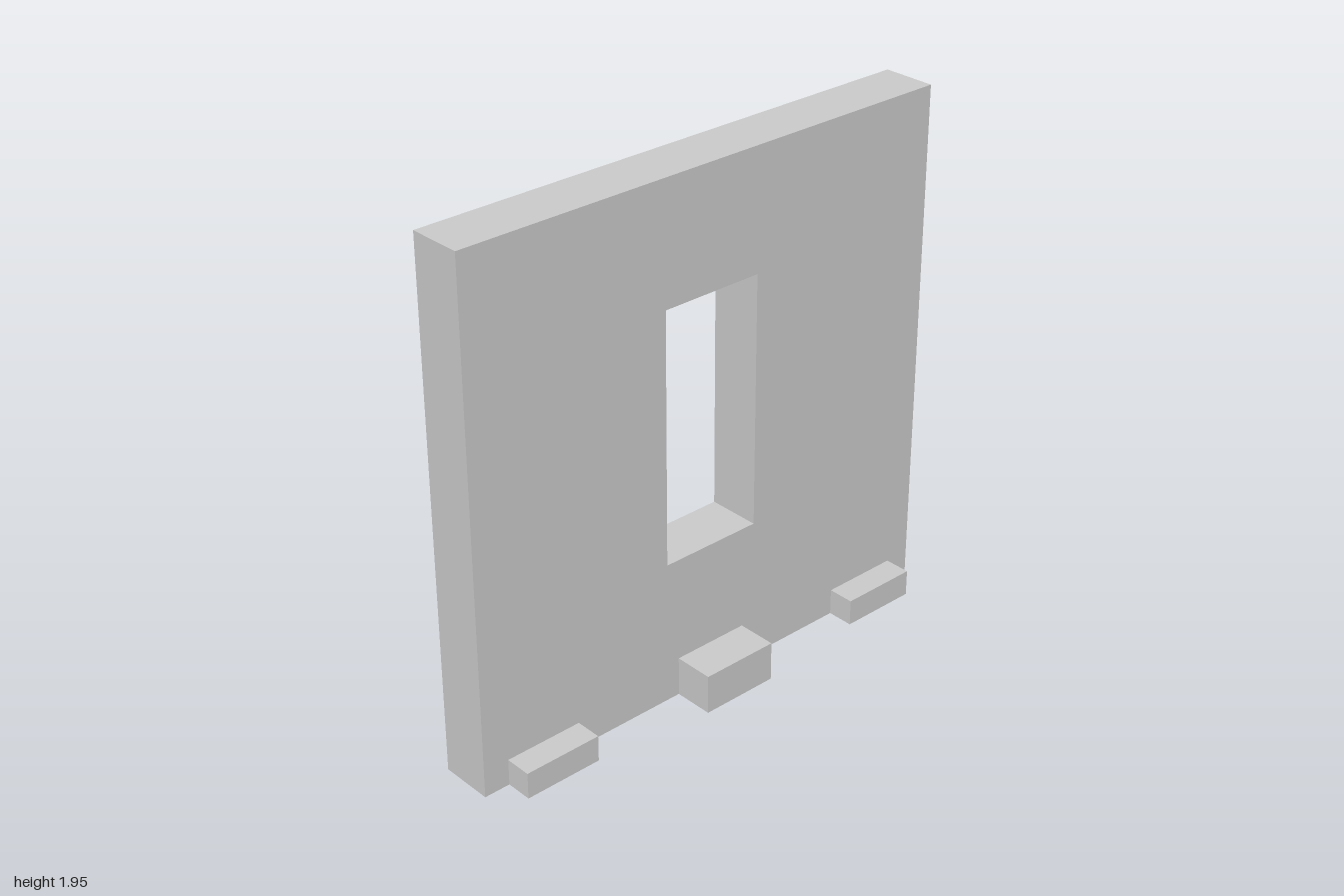
import * as THREE from 'three';

const WALL_DEPTH = 0.2;

// Rectangle outline from its lower-left and upper-right corners
function rectangle(PathType, x0, y0, x1, y1) {
  const path = new PathType();
  path.moveTo(x0, y0);
  path.lineTo(x1, y0);
  path.lineTo(x1, y1);
  path.lineTo(x0, y1);
  path.closePath();
  return path;
}

export function createModel() {
  const model = new THREE.Group();
  model.name = 'wallPanel';
  const material = new THREE.MeshStandardMaterial({ color: 0xcccccc, flatShading: true });

  // Upright slab with a tall window opening
  const outline = rectangle(THREE.Shape, -1, 0, 1, 1.95);
  outline.holes.push(rectangle(THREE.Path, -0.2, 0.55, 0.2, 1.5));
  const wallGeometry = new THREE.ExtrudeGeometry(outline, { depth: WALL_DEPTH, bevelEnabled: false });
  wallGeometry.translate(0, 0, -WALL_DEPTH / 2);
  const wall = new THREE.Mesh(wallGeometry, material);
  wall.name = 'wall';
  model.add(wall);

  // Feet along the base, on both faces of the wall
  const feet = [
    { name: 'RightFoot', x: -0.75, height: 0.1, depth: 0.1 },
    { name: 'CentreFoot', x: 0, height: 0.15, depth: 0.15 },
    { name: 'LeftFoot', x: 0.75, height: 0.1, depth: 0.1 },
  ];
  for (const { name, x, height, depth } of feet) {
    for (const side of [1, -1]) {
      const foot = new THREE.Mesh(new THREE.BoxGeometry(0.3, height, depth), material);
      foot.name = (side > 0 ? 'front' : 'back') + name;
      foot.position.set(x, height / 2, side * (WALL_DEPTH + depth) / 2);
      model.add(foot);
    }
  }

  return model;
}
